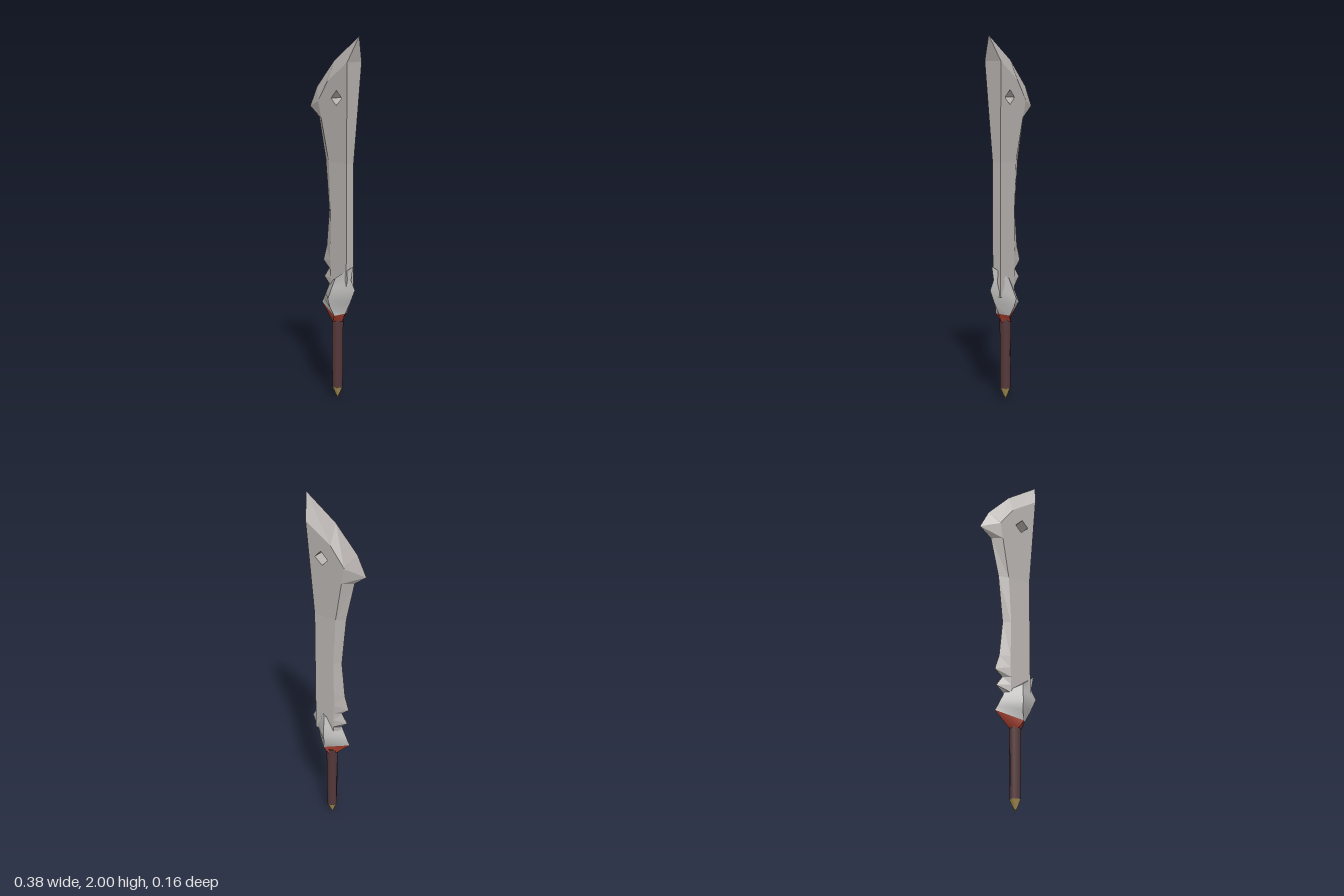
import * as THREE from 'three';
import { toCreasedNormals } from 'three/addons/utils/BufferGeometryUtils.js';

const mat = (name, color) => Object.assign(new THREE.MeshStandardMaterial({ color }), { name });

function mesh(name, geometry, material) {
  const m = new THREE.Mesh(geometry, material);
  m.name = name;
  return m;
}

function soup(points) {
  const g = new THREE.BufferGeometry();
  g.setAttribute('position', new THREE.Float32BufferAttribute(points.flat(), 3));
  g.computeVertexNormals();
  return g;
}

const quad = (a, b, c, d) => [a, b, c, a, c, d];

// Blade half thickness: constant below, flaring towards the tip
const half = (y) => 0.027 + 0.05 * Math.max(0, y - 1.33);
const front = ([x, y]) => [x, y, half(y)];
const back = ([x, y]) => [x, y, -half(y)];
const flat = ([x, y]) => [x, y, 0];

function bladeGeometry() {
  // Cutting edge and the matching bevel ridge, from the tip down
  const edge = [[0.187, 2], [0, 1.872], [-0.135, 1.73], [-0.19, 1.622], [-0.118, 1.565], [-0.067, 1.34],
    [-0.039, 1.06], [-0.06, 0.857], [-0.086, 0.775], [-0.04, 0.735], [-0.078, 0.682], [-0.035, 0.645], [-0.03, 0.6]];
  const ridge = [[0.152, 1.865], [0, 1.765], [-0.08, 1.66], [-0.08, 1.655], [-0.062, 1.565], [-0.015, 1.33],
    [0, 1.06], [-0.004, 0.857], [-0.004, 0.79], [0, 0.735], [0, 0.69], [0, 0.645], [0, 0.6]];
  const spine = [[0.152, 1.865], [0.122, 1.33], [0.122, 0.6]];
  const hole = [[0.103, 1.677], [0.064, 1.717], [0.022, 1.675], [0.058, 1.637]];
  const vec = (p) => new THREE.Vector2(...p);

  // One side: bevel strip and two flat panels, the upper one pierced
  const side = [];
  for (let i = 0; i < edge.length - 1; i++) {
    side.push(...quad(flat(edge[i]), flat(edge[i + 1]), front(ridge[i + 1]), front(ridge[i])));
  }
  const upper = new THREE.Shape([...ridge.slice(0, 6), spine[1]].map(vec));
  upper.holes.push(new THREE.Path(hole.map(vec)));
  const lower = new THREE.Shape([...ridge.slice(5), spine[2], spine[1]].map(vec));
  for (const shape of [upper, lower]) {
    const p = new THREE.ShapeGeometry(shape).toNonIndexed().attributes.position;
    for (let i = 0; i < p.count; i++) side.push(front([p.getX(i), p.getY(i)]));
  }

  // Mirrored side, with corner order reversed
  const mirrored = side.map(([x, y, z]) => [x, y, -z]).reverse();

  // Spine and walls of the diamond hole
  const rim = [flat(edge[0]), front(spine[0]), back(spine[0])];
  for (let i = 0; i < 2; i++) {
    rim.push(...quad(front(spine[i]), front(spine[i + 1]), back(spine[i + 1]), back(spine[i])));
  }
  hole.forEach((p, i) => {
    const q = hole[(i + 1) % 4];
    rim.push(...quad(front(p), front(q), back(q), back(p)));
  });
  return soup([...side, ...mirrored, ...rim]);
}

// Lens-shaped loft: each ring is left point, middle point with half depth, right point
function loft(rings) {
  const loops = rings.map(([lx, ly, mx, my, mz, rx, ry]) =>
    [[lx, ly, 0], [mx, my, mz], [rx, ry, 0], [mx, my, -mz]]);
  const [l, f, r, b] = loops[0];
  const tris = [l, f, r, l, r, b];
  for (let i = 0; i < loops.length - 1; i++) {
    for (let k = 0; k < 4; k++) {
      const n = (k + 1) % 4;
      tris.push(...quad(loops[i][k], loops[i + 1][k], loops[i + 1][n], loops[i][n]));
    }
  }
  return toCreasedNormals(soup(tris), 0.7);
}

export function createModel() {
  const steel = mat('blade steel', 0xb8b3b0);
  const iron = mat('guard iron', 0xb9b8b7);
  const red = mat('red collar', 0xa8402f);
  const leather = mat('dark grip', 0x55383a);
  const brass = mat('brass', 0xb59c5c);

  const group = new THREE.Group();
  group.name = 'cleaverSword';

  const blade = mesh('blade', bladeGeometry(), steel);
  blade.position.z = -0.008;
  group.add(blade);

  // Knobbly guard and the collar tapering from it to the grip
  const seam = [-0.09, 0.535, 0.06, 0.49, 0.05, 0.095, 0.5];
  group.add(mesh('guard', loft([
    [-0.03, 0.648, 0.06, 0.7, 0.042, 0.156, 0.775],
    [-0.042, 0.625, 0.05, 0.65, 0.058, 0.14, 0.695],
    [-0.06, 0.59, 0.038, 0.585, 0.078, 0.17, 0.645],
    [-0.075, 0.56, 0.042, 0.54, 0.066, 0.135, 0.57],
    seam,
  ]), iron));
  group.add(mesh('collar', loft([seam, [-0.002, 0.45, 0.035, 0.45, 0.036, 0.072, 0.45]]), red));

  // Grip and pointed pommel
  const grip = mesh('grip', new THREE.CylinderGeometry(0.032, 0.029, 0.4, 8), leather);
  grip.position.set(0.035, 0.27, 0);
  const pommel = mesh('pommel', new THREE.CylinderGeometry(0.03, 0, 0.07, 8), brass);
  pommel.position.set(0.035, 0.035, 0);
  group.add(grip, pommel);

  return group;
}
